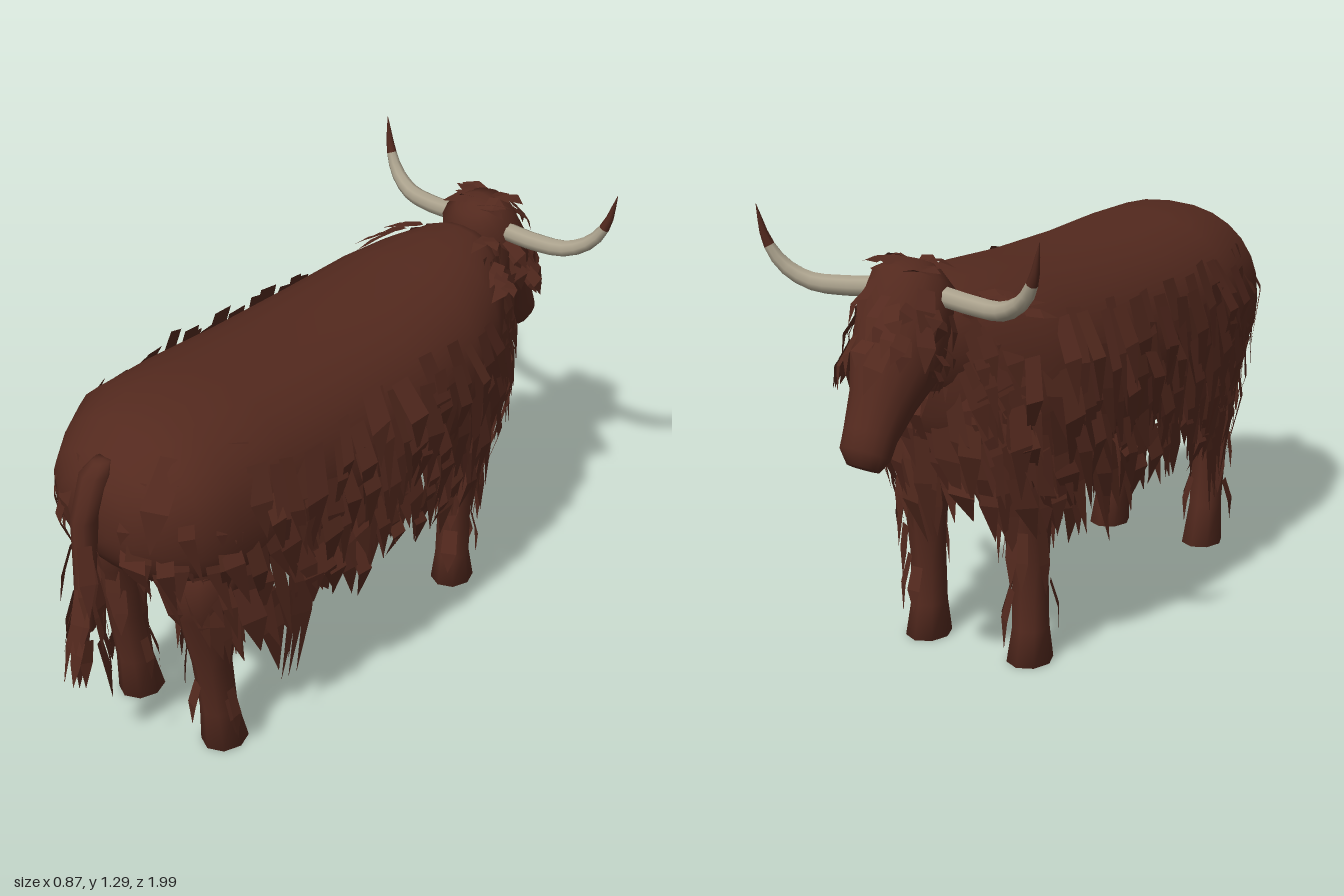
import * as THREE from 'three';

const coat = new THREE.MeshStandardMaterial({ color: 0x53291e, side: THREE.DoubleSide });
coat.name = 'brown coat';
const ivory = new THREE.MeshStandardMaterial({ color: 0xaba28d });
ivory.name = 'ivory horn';

const V = (x, y, z) => new THREE.Vector3(x, y, z);
let seed = 11;
const rnd = (a = 0, b = 1) => {
  seed = (seed * 16807) % 2147483647;
  return a + (b - a) * (seed / 2147483647);
};
const spow = (c, e) => Math.sign(c) * Math.abs(c) ** (2 / e);

// Smooth skin through superellipse rings [x, y, z, halfWidth, halfDepth]; rings span x and the vector v
function loft(name, rings, v, sides = 12, e = 2) {
  const pos = [], idx = [], n = rings.length;
  for (const [x, y, z, w, d] of rings) {
    for (let i = 0; i < sides; i++) {
      const a = (i / sides) * Math.PI * 2;
      const p = V(x + w * spow(Math.cos(a), e), y, z).addScaledVector(v, d * spow(Math.sin(a), e));
      pos.push(p.x, p.y, p.z);
    }
  }
  const first = V(...rings[0]), last = V(...rings[n - 1]);
  pos.push(...first.toArray(), ...last.toArray());
  const flip = V(1, 0, 0).cross(v).dot(last.clone().sub(first)) < 0;
  const tri = (a, b, c) => (flip ? idx.push(a, c, b) : idx.push(a, b, c));
  for (let i = 0; i < sides; i++) {
    const j = (i + 1) % sides, top = (n - 1) * sides;
    for (let r = 0; r < n - 1; r++) {
      const a = r * sides + i, b = r * sides + j;
      tri(a, b, b + sides);
      tri(a, b + sides, a + sides);
    }
    tri(n * sides, j, i);
    tri(n * sides + 1, top + i, top + j);
  }
  const g = new THREE.BufferGeometry();
  g.setAttribute('position', new THREE.Float32BufferAttribute(pos, 3));
  g.setIndex(idx);
  g.computeVertexNormals();
  const m = new THREE.Mesh(g, coat);
  m.name = name;
  return m;
}

// Pointed lock of hair from root a over b to tip c, with width along t
function blade(out, a, b, c, t, w) {
  const s = (p, k) => p.clone().addScaledVector(t, k * w);
  const [a0, a1, b0, b1] = [s(a, -0.4), s(a, 0.4), s(b, -0.45), s(b, 0.45)];
  for (const p of [a0, b0, b1, a0, b1, a1, b0, c, b1]) out.push(p.x, p.y, p.z);
}
// Straight lock growing along d and lifting along n
function lock(out, root, d, n, len, w, lift) {
  const t = n.clone().cross(d).normalize();
  const at = (k, o) => root.clone().addScaledVector(d, len * k).addScaledVector(n, o);
  blade(out, at(0, 0), at(0.5, lift), at(1, lift * 0.8), t, w);
}
function hairMesh(name, pos) {
  const g = new THREE.BufferGeometry();
  g.setAttribute('position', new THREE.Float32BufferAttribute(pos, 3));
  g.computeVertexNormals();
  const m = new THREE.Mesh(g, coat);
  m.name = name;
  return m;
}

// Shaggy locks hanging in rows round the flanks, rump and chest
function bodyHair() {
  const out = [], ring = [];
  for (let i = 0; i < 48; i++) {
    const a = (i / 48) * Math.PI * 2, s = Math.sin(a);
    ring.push(V(0.35 * spow(Math.cos(a), 2.7), 0, (s > 0 ? 0.82 : 0.75) * spow(s, 2.7)));
  }
  const plan = new THREE.CatmullRomCurve3(ring, true);
  // coat narrows over the back and, more along z than x, towards the hem
  const k = (y, taper) => (y > 0.78 ? (1 - ((y - 0.78) / 0.33) ** 3.2) ** (1 / 3.2) : 1 - taper * Math.max(0, 0.75 - y));
  for (const row of [0.98, 0.88, 0.78, 0.68, 0.59]) {
    const count = 72;
    for (let i = 0; i < count; i++) {
      const u = ((i + rnd(-0.45, 0.45)) / count + 1) % 1;
      const p = plan.getPointAt(u), t = plan.getTangentAt(u), n = V(t.z, 0, -t.x);
      const y = row + rnd(-0.05, 0.04), x = Math.abs(p.x);
      if (p.z > 0.6 && x < (row < 0.7 ? 0.17 : 0.11)) continue;
      if (p.z < -0.55 && y > 0.93) continue;
      let len = rnd(0.2, 0.34);
      if (row < 0.7) len = rnd(0.16, 0.24) - (row < 0.6 ? 0.04 : 0);
      if (row < 0.7 && (p.z > 0.42 || p.z < -0.38)) len += rnd(0, p.z > 0 ? 0.17 : 0.12);
      const at = (h, o, slip) => V(p.x * k(h, 0.22), h, 0.05 + p.z * k(h, 0.48)).addScaledVector(n, o).addScaledVector(t, slip);
      const slip = rnd(-0.04, 0.04);
      blade(out, at(y, rnd(-0.02, 0.01), 0), at(y - len * 0.45, rnd(0, 0.04), slip * 0.4),
        at(y - len, rnd(0, 0.04), slip), t.setY(rnd(-0.25, 0.25)), rnd(0.045, 0.085));
    }
  }
  // a few long strands in front of the thighs
  for (const s of [-1, 1]) for (let i = 0; i < 6; i++) {
    lock(out, V(s * rnd(0.24, 0.31), 0.6, rnd(0.34, 0.42)), V(0, -1, rnd(0, 0.25)).normalize(), V(s, 0, 0),
      rnd(0.25, 0.43), 0.045, 0.01);
  }
  return hairMesh('bodyHair', out);
}

// Forelock, cheeks and mane
function headHair() {
  const out = [], up = V(0, 0.504, -0.864), axis = V(0, -0.864, -0.504);
  for (let i = 0; i < 44; i++) {
    const a = rnd(-0.4, Math.PI + 0.4), s = rnd(0.02, 0.2);
    const n = V(Math.cos(a), 0, 0).addScaledVector(up, Math.sin(a)).normalize();
    const root = V(0, 1.11, -0.72).addScaledVector(axis, s).addScaledVector(n, 0.115);
    const d = axis.clone().add(V(rnd(-0.5, 0.5), rnd(-0.3, 0.1), rnd(-0.1, 0.3))).normalize();
    lock(out, root, d, n, rnd(0.06, 0.14), rnd(0.035, 0.06), rnd(0.01, 0.035));
  }
  for (const s of [-1, 1]) {
    // tousled poll
    for (let i = 0; i < 6; i++) {
      lock(out, V(s * rnd(0, 0.06), rnd(1.15, 1.18), rnd(-0.8, -0.7)), V(s, rnd(-0.45, 0), rnd(-0.6, 0.4)).normalize(),
        V(0, 0.8, rnd(-0.5, 0.3)).normalize(), rnd(0.06, 0.1), 0.06, 0.015);
    }
    // mane over the neck sides and throat
    for (let i = 0; i < 40; i++) {
      const f = rnd(), y = rnd(0.74, 1.08);
      const w = (0.22 - 0.08 * f) * Math.sqrt(1 - (Math.max(0, y - 0.9) / 0.25) ** 2);
      lock(out, V(s * w, y, -0.55 - 0.16 * f), V(s * 0.2, -1, rnd(0, 0.35)).normalize(),
        V(s, 0, -0.4).normalize(), rnd(0.14, 0.26), rnd(0.04, 0.065), 0.02);
    }
    // locks sweeping back over the shoulders
    for (let i = 0; i < 8; i++) {
      const f = rnd();
      lock(out, V(s * (0.08 + 0.17 * f), 1.11 - 0.08 * f, -0.66 + 0.1 * f), V(s * rnd(0.1, 0.6), -0.25 * f, rnd(0.3, 1)).normalize(),
        V(s * 0.6 * f, 1, 0).normalize(), rnd(0.07, 0.13), 0.045, 0.008);
    }
  }
  return hairMesh('headHair', out);
}

// Broad locks down each leg and round the ankles
function legHair(x, z) {
  const out = [];
  for (let i = 0; i < 15; i++) {
    const a = rnd(0, Math.PI * 2), low = i < 3, y = low ? rnd(0.19, 0.25) : rnd(0.34, 0.56);
    const n = V(Math.cos(a), 0, Math.sin(a)), r = low ? 0.055 : 0.054 + (y - 0.34) * 0.12;
    lock(out, V(x, y, z + (low ? 0 : 0.02 * Math.sign(z))).addScaledVector(n, r), V(n.x * 0.06, -1, n.z * 0.06).normalize(), n,
      rnd(0.12, 0.18), rnd(0.035, 0.055), low ? 0.018 : 0.004);
  }
  return hairMesh('legHair', out);
}

function horn() {
  const path = new THREE.CatmullRomCurve3([V(0.07, 1.1, -0.73), V(0.2, 1.088, -0.745), V(0.3, 1.092, -0.765),
    V(0.37, 1.13, -0.785), V(0.41, 1.19, -0.8), V(0.435, 1.29, -0.81)]);
  const segs = 13, sides = 8;
  const g = new THREE.TubeGeometry(path, segs, 0.028, sides);
  const pos = g.attributes.position, p = V();
  for (let i = 0; i < pos.count; i++) {
    const u = Math.floor(i / (sides + 1)) / segs, c = path.getPointAt(u);
    p.fromBufferAttribute(pos, i).sub(c).multiplyScalar(1 - 0.98 * u ** 3).add(c);
    pos.setXYZ(i, p.x, p.y, p.z);
  }
  const split = 10 * sides * 6;
  g.addGroup(0, split, 0);
  g.addGroup(split, Infinity, 1);
  return new THREE.Mesh(g, [ivory, coat]);
}

export function createModel() {
  const model = new THREE.Group();
  model.name = 'longHairedCow';
  const Y = V(0, 1, 0), Z = V(0, 0, 1);

  // Barrel: [z, halfWidth, bottom, top] from rump to withers
  const barrel = [[0.875, 0.06, 0.76, 0.87], [0.86, 0.14, 0.71, 0.93], [0.82, 0.21, 0.65, 0.985], [0.74, 0.27, 0.58, 1.04],
    [0.65, 0.315, 0.54, 1.09], [0.45, 0.335, 0.5, 1.092], [0.2, 0.34, 0.48, 1.085], [-0.1, 0.34, 0.475, 1.09],
    [-0.35, 0.32, 0.48, 1.11], [-0.5, 0.28, 0.51, 1.118], [-0.62, 0.2, 0.6, 1.12], [-0.7, 0.12, 0.75, 1.1]];
  model.add(loft('body', barrel.map(([z, w, b, t]) => [0, (b + t) / 2, z, w, (t - b) / 2]), Y, 28, 2.3));
  model.add(loft('neck', [[0, 0.9, -0.5, 0.22, 0.2], [0, 0.94, -0.64, 0.17, 0.17], [0, 0.99, -0.75, 0.12, 0.13]], Y, 16));

  // Head from poll to muzzle
  model.add(loft('head', [[0, 1.165, -0.7, 0.06, 0.045], [0, 1.125, -0.72, 0.115, 0.1], [0, 1.02, -0.765, 0.13, 0.122],
    [0, 0.92, -0.81, 0.12, 0.12], [0, 0.84, -0.865, 0.088, 0.09], [0, 0.765, -0.92, 0.072, 0.07],
    [0, 0.72, -0.945, 0.07, 0.062], [0, 0.685, -0.955, 0.045, 0.04]], V(0, 0.504, -0.864), 16));

  for (const s of [-1, 1]) {
    const h = horn();
    h.scale.x = s;
    h.name = s > 0 ? 'leftHorn' : 'rightHorn';
    model.add(h);
    const x = s * 0.172;
    model.add(loft('hindLeg', [[x, 0.66, 0.65, 0.11, 0.13], [x, 0.5, 0.645, 0.07, 0.095], [x, 0.3, 0.63, 0.055, 0.058],
      [x, 0.13, 0.61, 0.052, 0.055], [x, 0, 0.59, 0.064, 0.072]], Z, 8));
    model.add(loft('frontLeg', [[x, 0.62, -0.45, 0.1, 0.1], [x, 0.42, -0.45, 0.063, 0.065], [x, 0.25, -0.445, 0.052, 0.05],
      [x, 0.1, -0.445, 0.052, 0.055], [x, 0, -0.45, 0.064, 0.072]], Z, 8));
    model.add(legHair(x, 0.62), legHair(x, -0.445));
  }

  // Tail hugging the rump, with its tassel
  model.add(loft('tail', [[0, 0.988, 0.825, 0.025, 0.03], [0, 0.96, 0.85, 0.042, 0.045], [0, 0.84, 0.9, 0.036, 0.038],
    [0, 0.68, 0.912, 0.032, 0.03], [0, 0.5, 0.925, 0.028, 0.026]], Z, 8));
  const tassel = [];
  for (let i = 0; i < 26; i++) {
    const a = (i / 26) * Math.PI * 2, n = V(Math.cos(a), 0, Math.sin(a));
    const y = rnd(0.42, 0.78);
    lock(tassel, V(0, y, 0.915).addScaledVector(n, 0.028), V(n.x * 0.14, -1, n.z * 0.14 + 0.06).normalize(), n,
      rnd(0.14, 0.24), rnd(0.035, 0.05), 0.012);
  }
  model.add(hairMesh('tailTassel', tassel), bodyHair(), headHair());
  return model;
}
